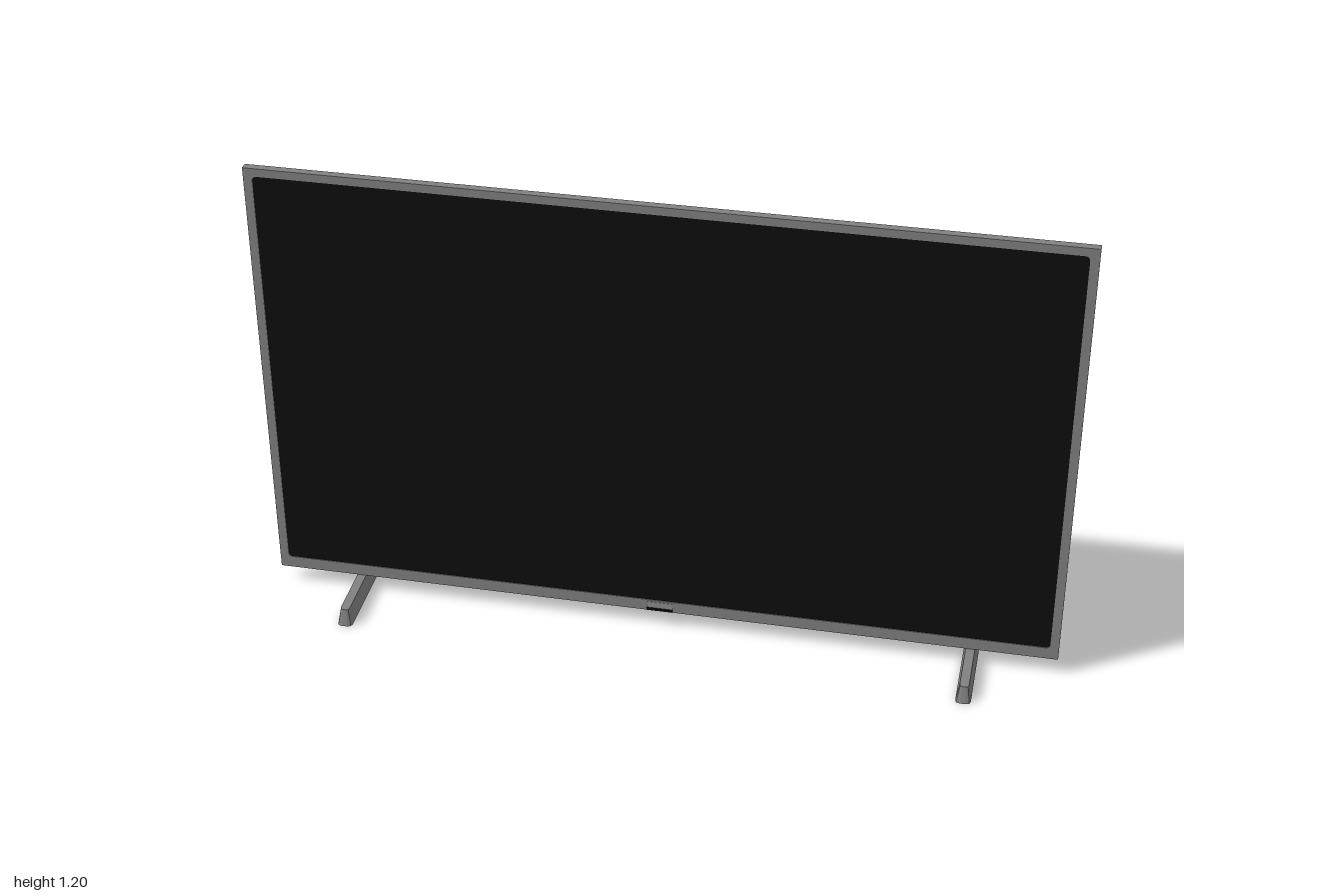
import * as THREE from 'three';

const grey = new THREE.MeshStandardMaterial({ color: 0x808080 });
grey.name = 'casing grey';
const black = new THREE.MeshStandardMaterial({ color: 0x0d0d0d });
black.name = 'screen black';

// Rectangle outline with corners cut or rounded by r
function rect(x0, x1, y0, y1, r = 0, Type = THREE.Shape) {
  const s = new Type();
  s.moveTo(x0 + r, y0);
  s.lineTo(x1 - r, y0);
  if (r) s.quadraticCurveTo(x1, y0, x1, y0 + r);
  s.lineTo(x1, y1 - r);
  if (r) s.quadraticCurveTo(x1, y1, x1 - r, y1);
  s.lineTo(x0 + r, y1);
  if (r) s.quadraticCurveTo(x0, y1, x0, y1 - r);
  s.lineTo(x0, y0 + r);
  if (r) s.quadraticCurveTo(x0, y0, x0 + r, y0);
  return s;
}

// Extrude a shape from z0 to z1
function slab(shape, z0, z1, curveSegments = 4) {
  return new THREE.ExtrudeGeometry(shape, { depth: z1 - z0, bevelEnabled: false, curveSegments })
    .translate(0, 0, z0);
}

function box(x0, x1, y0, y1, z0, z1) {
  return new THREE.BoxGeometry(x1 - x0, y1 - y0, z1 - z0)
    .translate((x0 + x1) / 2, (y0 + y1) / 2, (z0 + z1) / 2);
}

// Move every vertex by a rule, then refresh the normals
function reshape(geo, rule) {
  const p = geo.attributes.position;
  const v = new THREE.Vector3();
  for (let i = 0; i < p.count; i++) {
    rule(v.fromBufferAttribute(p, i));
    p.setXYZ(i, v.x, v.y, v.z);
  }
  geo.computeVertexNormals();
  return geo;
}

export function createModel() {
  const model = new THREE.Group();
  model.name = 'television';
  const add = (name, geo, mat = grey, parent = model) => {
    const m = new THREE.Mesh(geo, mat);
    m.name = name;
    parent.add(m);
    return m;
  };

  // Front bezel and screen
  const frame = rect(-1, 1, 0.045, 1.198);
  frame.holes.push(rect(-0.978, 0.978, 0.077, 1.177, 0.012, THREE.Path));
  add('bezel', slab(frame, 0.034, 0.054));
  add('screen', slab(rect(-0.978, 0.978, 0.077, 1.177, 0.012), 0.036, 0.052), black);

  // Rear housing: sides and top slope in, bottom stays flat
  add('housing', reshape(box(-0.98, 0.98, 0.045, 1.18, -0.05, 0.035), (v) => {
    if (v.z < 0) {
      v.x = Math.sign(v.x) * 0.875;
      if (v.y > 1) v.y = 1.095;
    }
  }));

  // Electronics box with a recessed connector bay
  const back = rect(-0.69, 0.69, 0.24, 0.785);
  back.holes.push(rect(-0.67, -0.55, 0.28, 0.752, 0, THREE.Path));
  add('rearBoxBase', box(-0.69, 0.69, 0.24, 0.785, -0.078, -0.05));
  add('rearBoxShell', slab(back, -0.112, -0.078));

  // Socket in the bay
  const socket = new THREE.Group();
  socket.name = 'socket';
  const rim = rect(-0.652, -0.568, 0.478, 0.552);
  rim.holes.push(rect(-0.637, -0.583, 0.492, 0.538, 0, THREE.Path));
  add('socketRim', slab(rim, -0.092, -0.078), grey, socket);
  add('socketCore', box(-0.626, -0.594, 0.502, 0.528, -0.09, -0.078), grey, socket);
  model.add(socket);

  // Sensor wedge under the screen, its dark window facing down and forward
  add('sensor', reshape(box(-0.033, 0.033, 0.052, 0.072, 0.05, 0.06), (v) => {
    if (v.y > 0.06 && v.z > 0.055) v.z = 0.055;
  }));
  add('sensorWindow', box(-0.033, 0.033, 0.05, 0.057, 0.052, 0.061), black);

  // Feet: bars with cut corners, narrowing towards the top
  for (const side of [-1, 1]) {
    const foot = slab(rect(-0.019, 0.019, -0.215, 0.215, 0.012), 0, 0.045, 2);
    foot.rotateX(-Math.PI / 2);
    reshape(foot, (v) => {
      if (v.y > 0.02) {
        v.x *= 0.6;
        v.z *= 0.955;
      }
    });
    add(side > 0 ? 'leftFoot' : 'rightFoot', foot).position.x = side * 0.784;
  }

  return model;
}
